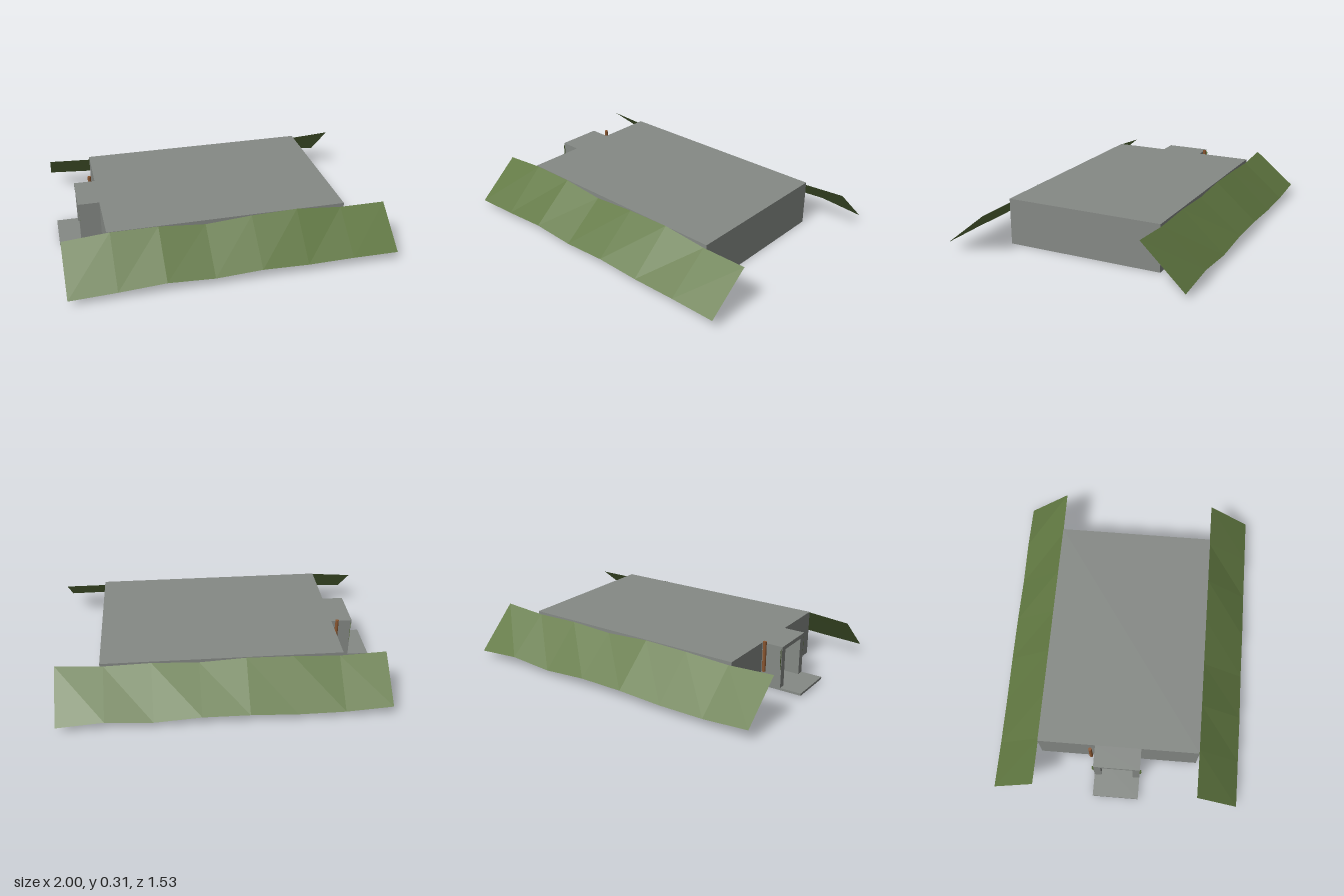
import * as THREE from 'three';

const concrete = new THREE.MeshStandardMaterial({ color: 0x858985 });
concrete.name = 'concrete';
const grass = new THREE.MeshStandardMaterial({ color: 0x5f7640, side: THREE.DoubleSide, flatShading: true });
grass.name = 'grass';
const rust = new THREE.MeshStandardMaterial({ color: 0x8a5630 });
rust.name = 'rust';

// Box given by its minimum and maximum corners
function slab(name, x0, x1, y0, y1, z0, z1, material = concrete) {
  const mesh = new THREE.Mesh(new THREE.BoxGeometry(x1 - x0, y1 - y0, z1 - z0), material);
  mesh.position.set((x0 + x1) / 2, (y0 + y1) / 2, (z0 + z1) / 2);
  mesh.name = name;
  return mesh;
}

// Sloping earth sheet with wavy upper and lower edges
function berm(name, side, top, bottom) {
  const columns = top.length - 1;
  const geometry = new THREE.PlaneGeometry(2, 1, columns, 1);
  const p = geometry.attributes.position;
  for (let i = 0; i <= columns; i++) {
    const x = -1 + (2 * i) / columns;
    p.setXYZ(i, x, top[i], side * 0.5);
    p.setXYZ(i + columns + 1, x, bottom[i], side * 0.765);
  }
  if (side < 0) {
    // Reverse the corners so the outside stays the front
    const index = geometry.index.array;
    for (let i = 0; i < index.length; i += 3) {
      [index[i + 1], index[i + 2]] = [index[i + 2], index[i + 1]];
    }
  }
  geometry.computeVertexNormals();
  const mesh = new THREE.Mesh(geometry, grass);
  mesh.name = name;
  return mesh;
}

export function createModel() {
  const model = new THREE.Group();
  model.name = 'bunker';

  // Main room: floor, roof and walls
  const X = 0.735, Z = 0.5, T = 0.025, FLOOR = 0.025, CEILING = 0.265, TOP = 0.29;
  const room = new THREE.Group();
  room.name = 'mainRoom';
  room.add(
    slab('floor', -X, X, 0, FLOOR, -Z, Z),
    slab('roof', -X, X, CEILING, TOP, -Z, Z),
    slab('endWall', X - T, X, FLOOR, CEILING, -Z, Z)
  );
  for (const s of [-1, 1]) {
    const z = [s * Z, s * (Z - T)].sort((a, b) => a - b);
    room.add(slab('sideWall', -X, X - T, FLOOR, CEILING, z[0], z[1]));
    // Entrance wall, leaving a doorway in the middle
    const d = [s * 0.1, s * (Z - T)].sort((a, b) => a - b);
    room.add(slab('doorWall', -X, -X + T, FLOOR, CEILING, d[0], d[1]));
  }
  model.add(room);

  // Entrance porch
  const porch = new THREE.Group();
  porch.name = 'entrance';
  porch.add(
    slab('entranceFloor', -1, -X, 0.013, 0.027, -0.143, 0.143),
    slab('entranceRoof', -0.868, -X, CEILING, TOP, -0.143, 0.143)
  );
  for (const s of [-1, 1]) {
    const z = [s * 0.1, s * 0.143].sort((a, b) => a - b);
    porch.add(slab('entranceWall', -0.865, -X, 0.027, CEILING, z[0], z[1]));
    // Ragged strip hanging beside the opening
    const strip = new THREE.Shape([
      [0, 0.28], [0.012, 0.27], [0.008, 0.24], [0.013, 0.21], [0.007, 0.18], [0.009, 0.15], [0, 0.14]
    ].map(([u, v]) => new THREE.Vector2(s * (0.143 + u), v)));
    const growth = new THREE.Mesh(new THREE.ShapeGeometry(strip), grass);
    growth.rotation.y = -Math.PI / 2;
    growth.position.x = -0.862;
    growth.name = 'hangingGrowth';
    porch.add(growth);
  }
  model.add(porch);

  // Vent pipe beside the entrance
  const pipe = new THREE.Mesh(new THREE.CylinderGeometry(0.011, 0.011, 0.19, 12), rust);
  pipe.position.set(-0.765, 0.217, -0.17);
  pipe.name = 'ventPipe';
  model.add(pipe);

  // Earth banks along both long sides
  model.add(
    berm('frontBerm', 1,
      [0.265, 0.288, 0.287, 0.262, 0.283, 0.291, 0.265, 0.265],
      [0.035, 0.047, 0.065, 0.05, 0.065, 0.056, 0.06, 0.058]),
    berm('backBerm', -1,
      [0.282, 0.268, 0.28, 0.285, 0.268, 0.28, 0.272, 0.29],
      [0.065, 0.046, 0.045, 0.058, 0.06, 0.04, 0.06, 0.037])
  );
  return model;
}
